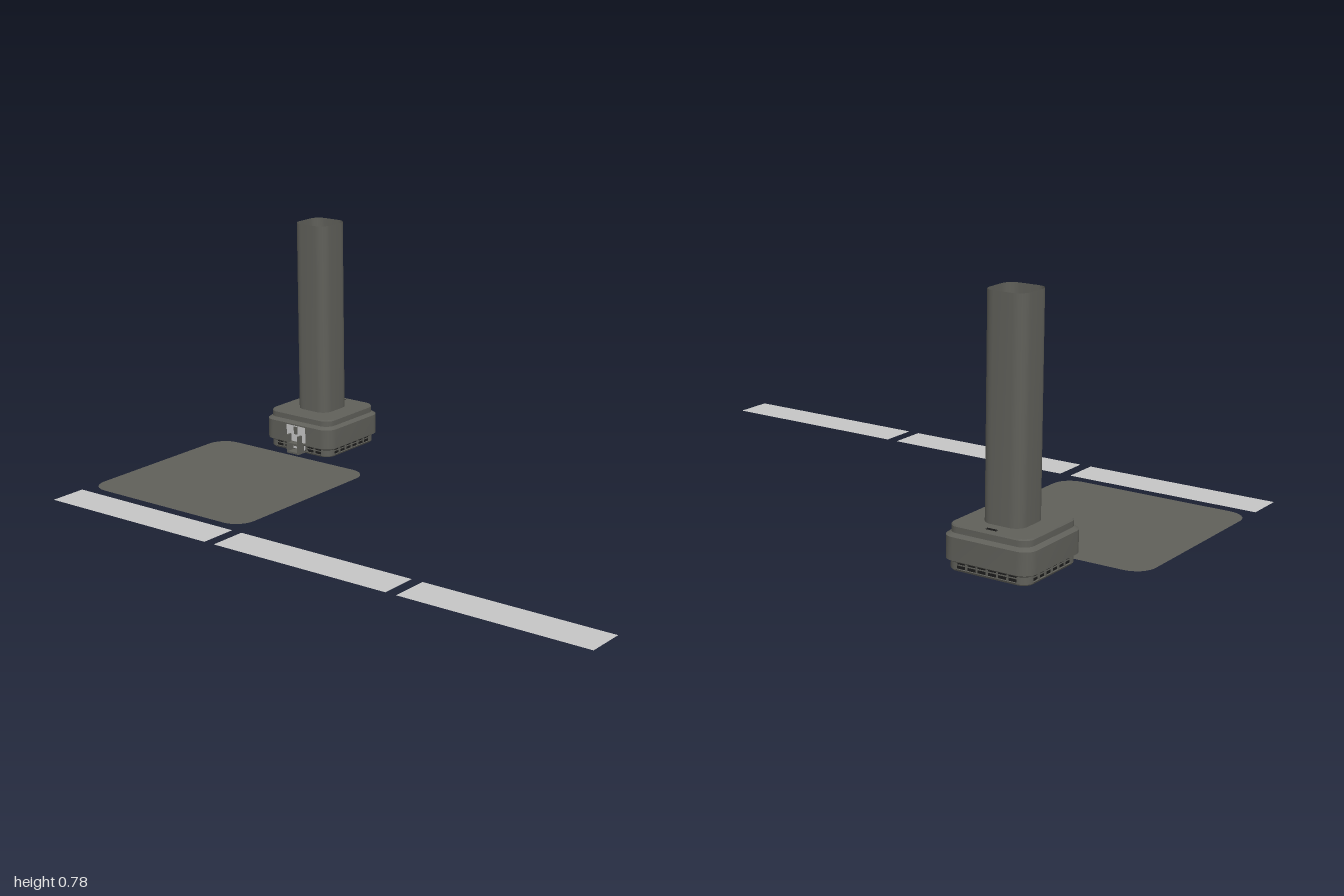
import * as THREE from 'three';
import { toCreasedNormals } from 'three/addons/utils/BufferGeometryUtils.js';

const dark = new THREE.MeshStandardMaterial({ color: 0x60605a, side: THREE.DoubleSide });
dark.name = 'warm dark grey';
const black = new THREE.MeshStandardMaterial({ color: 0x1c1c1c });
black.name = 'vent black';
const light = new THREE.MeshStandardMaterial({ color: 0xc6c6c6, side: THREE.DoubleSide });
light.name = 'light grey';

// Rounded square outline with corner arcs, counter-clockwise
function outline(half, r, n = 6) {
  const pts = [];
  for (let q = 0; q < 4; q++) {
    const mid = Math.PI / 4 + q * Math.PI / 2;
    const cx = Math.sign(Math.cos(mid)) * (half - r);
    const cy = Math.sign(Math.sin(mid)) * (half - r);
    for (let i = 0; i <= n; i++) {
      const a = (q + i / n) * Math.PI / 2;
      pts.push(new THREE.Vector2(cx + r * Math.cos(a), cy + r * Math.sin(a)));
    }
  }
  return pts;
}

// Skin through rounded squares given as [y, half width, corner radius]
function loft(rings, capBottom = true, capTop = true) {
  const pos = [], idx = [];
  const n = outline(1, 0.1).length;
  for (const [y, half, r] of rings) {
    for (const p of outline(half, r)) pos.push(p.x, y, -p.y);
  }
  for (let k = 0; k < rings.length - 1; k++) {
    for (let i = 0; i < n; i++) {
      const a = k * n + i, b = k * n + (i + 1) % n;
      idx.push(a, b, b + n, a, b + n, a + n);
    }
  }
  const top = (rings.length - 1) * n;
  for (let i = 1; i < n - 1; i++) {
    if (capBottom) idx.push(0, i + 1, i);
    if (capTop) idx.push(top, top + i, top + i + 1);
  }
  const g = new THREE.BufferGeometry();
  g.setAttribute('position', new THREE.Float32BufferAttribute(pos, 3));
  g.setIndex(idx);
  return toCreasedNormals(g, 0.45);
}

function add(parent, name, geometry, material, x = 0, y = 0, z = 0) {
  const m = new THREE.Mesh(geometry, material);
  m.name = name;
  m.position.set(x, y, z);
  parent.add(m);
  return m;
}

const box = (w, h, d) => new THREE.BoxGeometry(w, h, d);

export function createModel() {
  const model = new THREE.Group();
  model.name = 'model';

  // Tower unit: base housing, vents and hollow column
  const unit = new THREE.Group();
  unit.name = 'towerUnit';
  unit.position.set(-0.68, 0, -0.412);
  model.add(unit);

  add(unit, 'housing', loft([
    [0.031, 0.130, 0.032], [0.038, 0.142, 0.040], [0.105, 0.142, 0.040],
    [0.114, 0.130, 0.034], [0.132, 0.130, 0.034], [0.136, 0.127, 0.032],
  ]), dark);
  add(unit, 'ventCore', loft([[0.010, 0.124, 0.03], [0.034, 0.124, 0.03]]), black);
  add(unit, 'bottomPlate', loft([[0.006, 0.127, 0.03], [0.012, 0.130, 0.032]]), dark);
  add(unit, 'footPad', loft([[0, 0.065, 0.035], [0.008, 0.065, 0.035]]), dark);
  add(unit, 'column', loft([[0.13, 0.065, 0.035], [0.78, 0.065, 0.035]], false, false), dark);

  // Solid corner posts between the vents
  const corner = new THREE.Shape();
  corner.moveTo(0.097, 0.097);
  corner.lineTo(0.130, 0.097);
  corner.absarc(0.098, 0.098, 0.032, 0, Math.PI / 2, false);
  corner.lineTo(0.097, 0.097);
  const cornerGeo = new THREE.ExtrudeGeometry(corner, { depth: 0.025, bevelEnabled: false, curveSegments: 6 });
  cornerGeo.rotateX(-Math.PI / 2);

  // Corner posts and vent ribs repeat on all four sides
  for (let q = 0; q < 4; q++) {
    const side = new THREE.Group();
    side.name = 'ventSide';
    side.rotation.y = q * Math.PI / 2;
    unit.add(side);
    add(side, 'cornerPost', cornerGeo, dark, 0, 0.01, 0);
    for (let i = -2; i <= 2; i++) {
      add(side, 'ventRib', box(0.004, 0.024, 0.008), dark, i * 0.033, 0.022, 0.125);
    }
    add(side, 'ventRail', box(0.19, 0.003, 0.006), dark, 0, 0.023, 0.123);
  }

  // Small marks on the top rear edge
  for (const z of [-0.108, -0.101]) {
    add(unit, 'topMark', box(0.034, 0.002, 0.003), black, 0, 0.1365, z);
  }

  // Front connector: light panel with a forked tab
  add(unit, 'connectorPanel', box(0.08, 0.055, 0.004), light, 0, 0.073, 0.1415);
  add(unit, 'connectorLowerPanel', box(0.06, 0.018, 0.004), light, 0, 0.026, 0.131);
  for (const s of [-1, 1]) {
    add(unit, 'tabWall', box(0.006, 0.064, 0.034), dark, s * 0.023, 0.039, 0.145);
  }
  add(unit, 'tabShelf', box(0.046, 0.007, 0.034), dark, 0, 0.040, 0.145);
  add(unit, 'tabFloor', box(0.046, 0.006, 0.034), dark, 0, 0.010, 0.145);
  add(unit, 'connectorPin', box(0.014, 0.026, 0.006), dark, 0, 0.085, 0.143);

  // Flat rounded mat
  const mat = add(model, 'mat', new THREE.ShapeGeometry(new THREE.Shape(outline(0.321, 0.065))), dark, -0.679, 0, 0.069);
  mat.rotation.x = -Math.PI / 2;

  // Row of three flat strips
  for (const x of [-0.679, 0, 0.679]) {
    const strip = add(model, 'strip', new THREE.PlaneGeometry(0.642, 0.125), light, x, 0, 0.488);
    strip.rotation.x = -Math.PI / 2;
  }

  return model;
}
